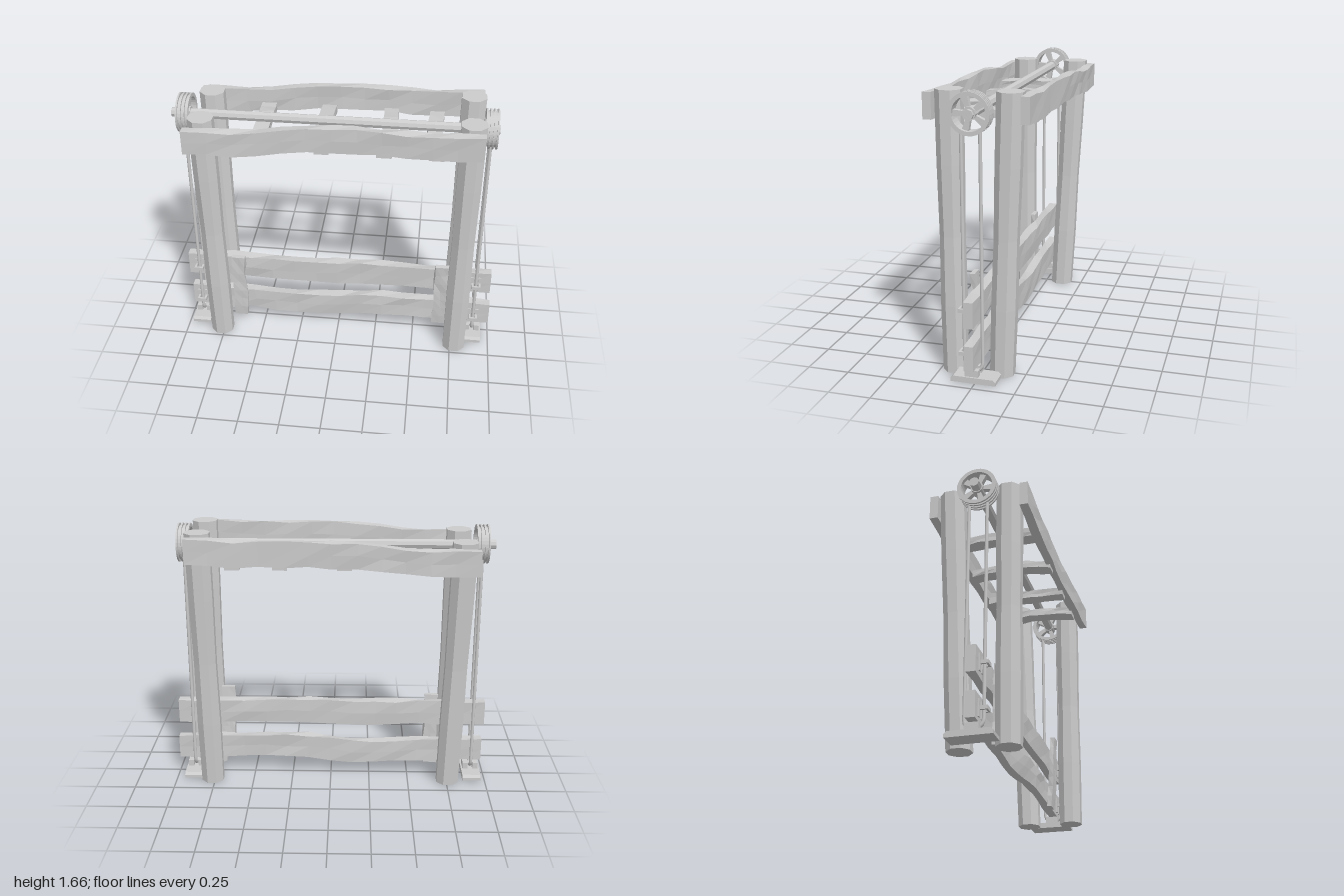
import * as THREE from 'three';

const mat = new THREE.MeshStandardMaterial({ color: 0xcccccc, flatShading: true });
const smooth = new THREE.MeshStandardMaterial({ color: 0xcccccc });

function add(parent, name, geo, x = 0, y = 0, z = 0, m = mat) {
  const mesh = new THREE.Mesh(geo, m);
  mesh.name = name;
  mesh.position.set(x, y, z);
  parent.add(mesh);
  return mesh;
}

const box = (w, h, d) => new THREE.BoxGeometry(w, h, d);

// position-based noise, so duplicated corners stay welded
function noise(x, y, z, seed) {
  const s = Math.sin(x * 91.7 + y * 157.3 + z * 313.1 + seed * 17.7) * 437.58;
  return (s - Math.floor(s)) * 2 - 1;
}

// rough-hewn plank along x; ys and zs are centre-line offsets from end to end
function plankGeo(len, h, d, ys, zs, seed, segs = 12, rough = 0.008) {
  const geo = new THREE.BoxGeometry(len, h, d, segs, 2, 1);
  const curve = new THREE.CatmullRomCurve3(ys.map((y, i) => new THREE.Vector3(i, y, zs[i])));
  const p = geo.attributes.position;
  for (let i = 0; i < p.count; i++) {
    const x = p.getX(i), y = p.getY(i), z = p.getZ(i);
    const t = Math.min(1, Math.max(0, x / len + 0.5));
    const c = curve.getPoint(t);
    const k = Math.abs(x) < len / 2 - 0.001 ? rough : 0;
    p.setXYZ(i, x + k * noise(x, y, z, seed + 1),
      y + c.y + k * noise(x, y, z, seed + 2),
      z + c.z + 0.6 * k * noise(x, y, z, seed + 3));
  }
  geo.computeVertexNormals();
  return geo;
}

// leaning octagonal post from (x0, z0) on the ground to (x1, z1) at the top
function postGeo(x0, z0, x1, z1, height) {
  const geo = new THREE.CylinderGeometry(0.078, 0.074, height, 8, 4);
  geo.rotateY(Math.PI / 8);
  const p = geo.attributes.position;
  for (let i = 0; i < p.count; i++) {
    const t = p.getY(i) / height + 0.5;
    const w = 1 + 0.04 * Math.sin(t * 9);
    p.setXYZ(i, p.getX(i) * w + x0 + (x1 - x0) * t, t * height, p.getZ(i) * w + z0 + (z1 - z0) * t);
  }
  geo.computeVertexNormals();
  return geo;
}

// grooved pulley wheel with five flared spokes, axis along x
function pulley() {
  const g = new THREE.Group();
  const pts = [[0.095, -0.038]];
  for (let i = 0; i < 4; i++) {
    const a = -0.038 + i * 0.022;
    pts.push([0.118, a], [0.118, a + 0.01]);
    if (i < 3) pts.push([0.104, a + 0.01], [0.104, a + 0.022]);
  }
  pts.push([0.095, 0.038], [0.095, -0.038]);
  const rim = new THREE.LatheGeometry(pts.map(([r, y]) => new THREE.Vector2(r, y)), 32);
  add(g, 'pulleyRim', rim.rotateZ(Math.PI / 2));
  add(g, 'pulleyHub', new THREE.CylinderGeometry(0.038, 0.038, 0.06, 10).rotateZ(Math.PI / 2));
  const s = new THREE.Shape();
  s.moveTo(-0.011, 0.028);
  s.lineTo(0.011, 0.028);
  s.lineTo(0.02, 0.099);
  s.lineTo(-0.02, 0.099);
  const spoke = new THREE.ExtrudeGeometry(s, { depth: 0.03, bevelEnabled: false });
  spoke.translate(0, 0, -0.015).rotateY(Math.PI / 2);
  for (let i = 0; i < 5; i++) {
    add(g, 'pulleySpoke', spoke).rotation.x = 0.35 + (i * Math.PI * 2) / 5;
  }
  return g;
}

// rope hanging from the wheel, looping round the foot
function ropeGeo() {
  const pts = [new THREE.Vector3(0, 1.46, 0.072), new THREE.Vector3(0, 0.8, 0.072)];
  for (let i = 0; i <= 8; i++) {
    const a = (i / 8) * Math.PI;
    pts.push(new THREE.Vector3(0, 0.11 - 0.055 * Math.sin(a), 0.0185 + 0.0535 * Math.cos(a)));
  }
  pts.push(new THREE.Vector3(0, 0.8, -0.035), new THREE.Vector3(0, 1.46, -0.035));
  const path = new THREE.CurvePath();
  for (let i = 1; i < pts.length; i++) path.add(new THREE.LineCurve3(pts[i - 1], pts[i]));
  return new THREE.TubeGeometry(path, 160, 0.0105, 8);
}

// staple that holds the rope against a plank
function ropeClamp() {
  const g = new THREE.Group();
  for (const s of [-1, 1]) {
    add(g, 'clampPlate', box(0.02, 0.1, 0.008), s * 0.024, 0, 0.052);
    add(g, 'clampArm', box(0.012, 0.022, 0.05), s * 0.022, 0, 0.073);
  }
  add(g, 'clampBar', box(0.056, 0.022, 0.012), 0, 0, 0.094);
  return g;
}

// ground plate with two cheeks and a pin
function foot() {
  const g = new THREE.Group();
  const s = new THREE.Shape();
  s.moveTo(-0.125, 0.005);
  s.lineTo(0.14, 0.005);
  s.lineTo(0.14, 0.025);
  s.lineTo(0.125, 0.04);
  s.lineTo(-0.11, 0.04);
  s.lineTo(-0.125, 0.025);
  const plate = new THREE.ExtrudeGeometry(s, { depth: 0.118, bevelEnabled: false });
  add(g, 'footPlate', plate.translate(0, 0, -0.059).rotateY(-Math.PI / 2));
  for (const k of [-1, 1]) add(g, 'footCheek', box(0.034, 0.045, 0.08), k * 0.032, 0.058, 0.0185);
  add(g, 'footPin', new THREE.CylinderGeometry(0.012, 0.012, 0.08, 8).rotateZ(Math.PI / 2), 0, 0.067, 0.0185);
  return g;
}

export function createModel() {
  const model = new THREE.Group();
  model.name = 'timberFrame';

  // posts
  for (const [x0, z0, x1, z1, h] of [
    [-0.765, 0.165, -0.79, 0.172, 1.6], [-0.755, -0.11, -0.795, -0.175, 1.6],
    [0.775, 0.165, 0.785, 0.172, 1.65], [0.765, -0.115, 0.785, -0.175, 1.65]
  ]) add(model, 'post', postGeo(x0, z0, x1, z1, h));

  // upper rails
  const rise = [-0.05, -0.045, -0.005, 0.005, 0.0, 0.015];
  add(model, 'frontTopRail', plankGeo(1.73, 0.15, 0.05, rise, [0.01, 0, -0.015, -0.015, 0, 0.01], 1), -0.015, 1.545, 0.268);
  add(model, 'backTopRail', plankGeo(1.73, 0.15, 0.05, rise, [0.01, 0, -0.01, -0.01, 0, 0.005], 5), -0.015, 1.545, -0.275);

  // cross rungs
  [-0.46, -0.085, 0.295, 0.575].forEach((x, i) => {
    const s = i % 2 ? 1 : -1;
    const geo = plankGeo(0.52, 0.05, 0.088, [-0.01, 0.005, 0.005, -0.01], [s * 0.01, -s * 0.008, -s * 0.008, 0], 9 + i, 7, 0.006);
    add(model, 'rung', geo, x, 1.48, -0.005).rotation.y = Math.PI / 2;
  });

  // axle
  const axle = new THREE.CylinderGeometry(0.03, 0.03, 1.94, 8, 6).rotateZ(Math.PI / 2);
  add(model, 'axle', axle, -0.03, 1.54, 0.017);

  // lower planks
  add(model, 'upperPlank', plankGeo(1.975, 0.155, 0.055, [0, 0.002, -0.008, 0.008, 0, 0], [0, 0, 0.004, -0.004, 0, 0], 15, 14), -0.003, 0.43, 0.018);
  add(model, 'lowerPlank', plankGeo(1.975, 0.15, 0.055, [0, -0.01, -0.025, 0.01, 0.01, 0], [0, 0, -0.004, 0.004, 0, 0], 20, 14), 0.007, 0.175, 0.016);

  // upright boards
  for (const [x, y, lean] of [[-0.65, 0.29, 0.02], [0.67, 0.33, 0.06]]) {
    const geo = plankGeo(0.48, 0.085, 0.03, [0.005, -0.005, 0.005, 0], [0, 0.003, 0, 0], 30 + x, 7, 0.006);
    const board = add(model, 'uprightBoard', geo.rotateZ(Math.PI / 2), x, y, 0.068);
    board.rotation.x = lean;
  }

  // rope drive at each end
  for (const [name, x] of [['rightRopeDrive', -0.915], ['leftRopeDrive', 0.89]]) {
    const drive = new THREE.Group();
    drive.name = name;
    drive.position.x = x;
    const wheel = pulley();
    wheel.name = 'pulley';
    wheel.position.set(0, 1.543, 0.0165);
    add(drive, 'rope', ropeGeo(), 0, 0, 0, smooth);
    const base = foot();
    base.name = 'foot';
    drive.add(wheel, base);
    for (const y of [0.165, 0.425]) {
      const clamp = ropeClamp();
      clamp.name = 'ropeClamp';
      clamp.position.y = y;
      drive.add(clamp);
    }
    model.add(drive);
  }
  return model;
}
